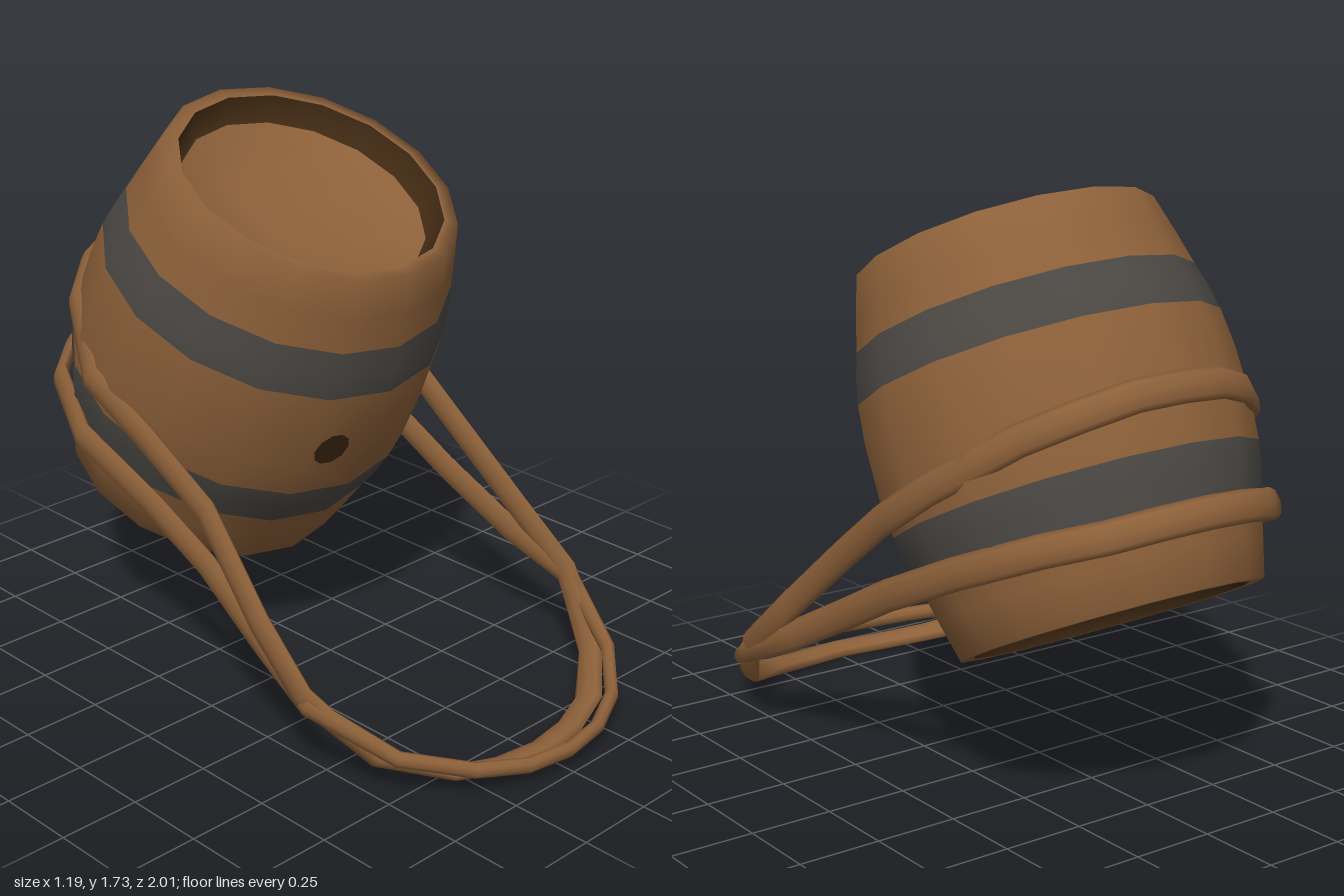
import * as THREE from 'three';

const SIDES = 16;
const LEAN = 0.456;

export function createModel() {
  const model = new THREE.Group();
  model.name = 'barrelWithStraps';

  const material = (name, color) => {
    const m = new THREE.MeshStandardMaterial({ color });
    m.name = name;
    return m;
  };
  const wood = material('brown wood', 0x8c6039);
  const iron = material('grey iron', 0x4b4844);
  const dark = material('dark wood', 0x3e2812);
  const colours = [wood, iron, dark];

  // Barrel, leaning forward about its middle
  const barrel = new THREE.Group();
  barrel.name = 'barrel';
  barrel.position.set(0, 1.02, -0.325);
  barrel.rotation.x = LEAN;
  model.add(barrel);

  // Turned part from [radius, height, material of the band up to the next point]
  const turned = (name, points) => {
    const geo = new THREE.LatheGeometry(points.map(([r, h]) => new THREE.Vector2(r, h)), SIDES);
    const rows = points.length - 1;
    for (let q = 0; q < SIDES * rows; q++) {
      geo.addGroup(q * 6, 6, colours.indexOf(points[q % rows][2]));
    }
    const mesh = new THREE.Mesh(geo, colours);
    mesh.name = name;
    barrel.add(mesh);
  };

  // Staves with two iron hoops; the ends turn over into the rims
  turned('stavesAndHoops', [
    [0.41, -0.575, wood], [0.452, -0.575, wood], [0.483, -0.455, wood],
    [0.508, -0.352, iron], [0.532, -0.27, iron], [0.546, -0.195, wood],
    [0.556, -0.08, wood], [0.556, 0.08, wood],
    [0.546, 0.197, iron], [0.532, 0.27, iron], [0.511, 0.345, wood],
    [0.485, 0.45, wood], [0.452, 0.568, wood], [0.41, 0.568],
  ]);

  // Top: dark recess wall and slightly hollowed head
  turned('topHead', [
    [0.41, 0.568, dark], [0.38, 0.487, wood], [0.2, 0.464, wood], [0, 0.455],
  ]);

  // Underside: shallow funnel with a central hole, and dark recess wall
  turned('bottomHead', [
    [0, -0.45, dark], [0.128, -0.458, wood], [0.38, -0.495, dark], [0.41, -0.575],
  ]);

  // Bung hole, a thin disc lying on the first stave right of the front
  const pivot = new THREE.Group();
  pivot.name = 'bungHole';
  pivot.rotation.y = -Math.PI / SIDES;
  const bung = new THREE.Mesh(new THREE.CircleGeometry(0.06, 10), dark);
  bung.name = 'bungHoleDisc';
  bung.position.set(-0.036, -0.003, 0.55);
  pivot.add(bung);
  barrel.add(pivot);

  // Flat strap: an oval swept round a closed loop. Each point is [left x, y, z, right x];
  // the broad side lies along the barrel axis and turns to frontAxis at the front.
  const barrelAxis = new THREE.Vector3(0, Math.cos(LEAN), Math.sin(LEAN));
  const strap = (name, points, frontAxis, backWidth, frontWidth) => {
    const left = points.map(([x, y, z]) => new THREE.Vector3(x, y, z));
    const right = points.slice(1, -1).reverse().map(([x, y, z, rx = -x]) => new THREE.Vector3(rx, y, z));
    const curve = new THREE.CatmullRomCurve3([...left, ...right], true);
    const steps = curve.points.length, around = 8, thick = 0.021;
    const positions = [], index = [];
    for (let i = 0; i < steps; i++) {
      const p = curve.getPoint(i / steps);
      const t = curve.getTangent(i / steps);
      const turn = THREE.MathUtils.smoothstep(p.z, 0.2, 0.8);
      const w = barrelAxis.clone().lerp(frontAxis, turn);
      w.addScaledVector(t, -w.dot(t)).normalize();
      const n = t.clone().cross(w);
      const wide = THREE.MathUtils.lerp(backWidth, frontWidth, turn);
      for (let j = 0; j < around; j++) {
        const a = (j / around) * Math.PI * 2;
        const v = p.clone().addScaledVector(w, Math.cos(a) * wide).addScaledVector(n, Math.sin(a) * thick);
        positions.push(v.x, v.y, v.z);
        const i2 = ((i + 1) % steps) * around, i1 = i * around, j2 = (j + 1) % around;
        index.push(i1 + j, i1 + j2, i2 + j, i1 + j2, i2 + j2, i2 + j);
      }
    }
    const geo = new THREE.BufferGeometry();
    geo.setAttribute('position', new THREE.Float32BufferAttribute(positions, 3));
    geo.setIndex(index);
    geo.computeVertexNormals();
    const mesh = new THREE.Mesh(geo, wood);
    mesh.name = name;
    model.add(mesh);
  };

  strap('upperStrap', [
    [0, 1.23, -0.855], [0.15, 1.222, -0.845], [0.29, 1.18, -0.795], [0.42, 1.11, -0.69],
    [0.55, 0.95, -0.46], [0.55, 0.81, -0.23, -0.53], [0.54, 0.65, 0, -0.505],
    [0.545, 0.42, 0.3, -0.57], [0.57, 0.26, 0.48, -0.575], [0.47, 0.095, 0.67],
    [0.3, 0.038, 0.805], [0.15, 0.022, 0.855], [0, 0.02, 0.875],
  ], new THREE.Vector3(0, 0.2, 1), 0.047, 0.044);

  strap('lowerStrap', [
    [0, 0.91, -0.978], [0.15, 0.9, -0.96], [0.29, 0.87, -0.9], [0.42, 0.83, -0.79],
    [0.525, 0.73, -0.55], [0.53, 0.59, -0.23, -0.51], [0.525, 0.475, 0, -0.505],
    [0.54, 0.34, 0.27], [0.572, 0.235, 0.5], [0.46, 0.125, 0.745],
    [0.3, 0.085, 0.89], [0.15, 0.067, 0.957], [0, 0.065, 0.979],
  ], new THREE.Vector3(0, 1, 0.3), 0.047, 0.025);

  return model;
}
